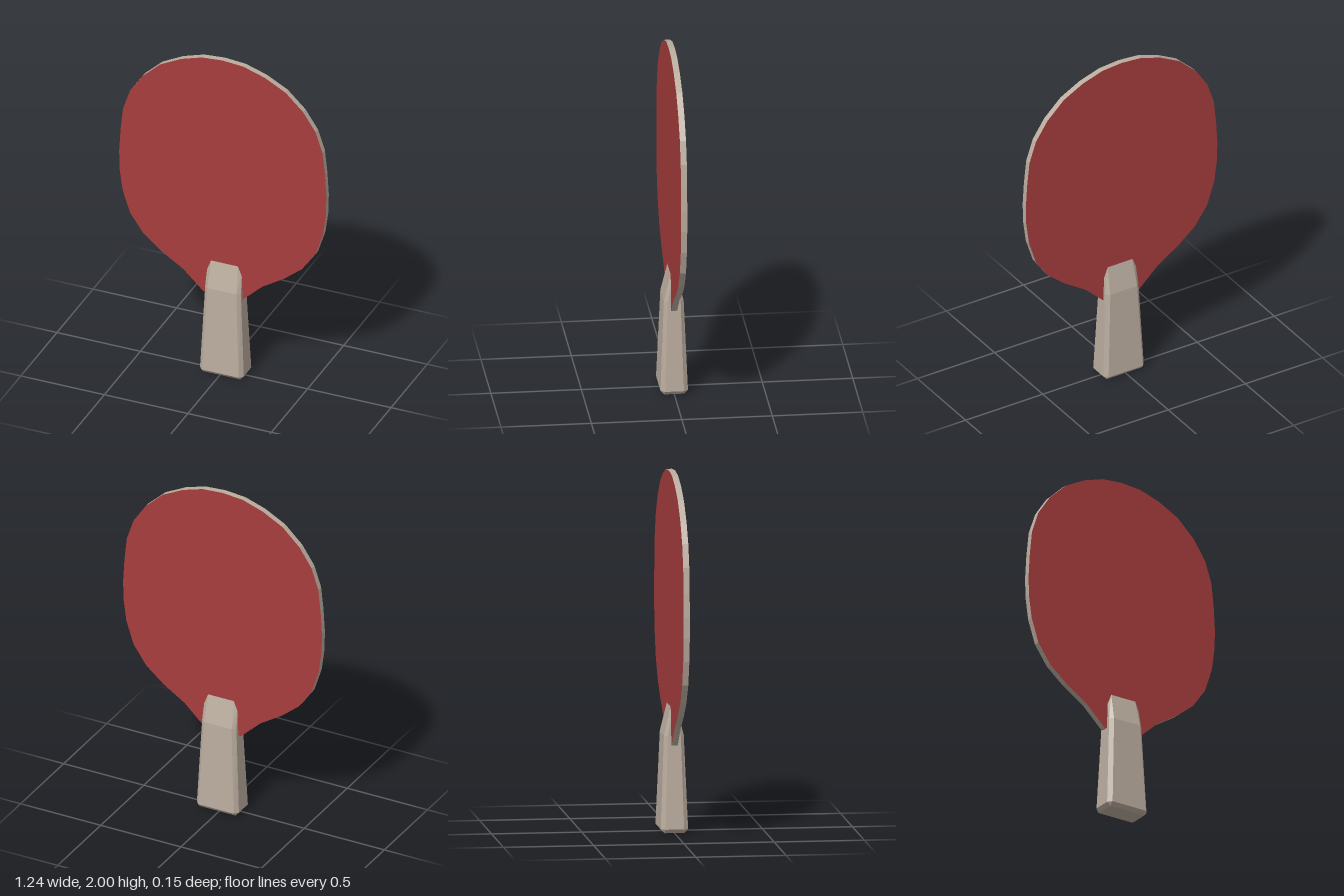
import * as THREE from 'three';

const rubber = new THREE.MeshStandardMaterial({ name: 'red rubber', color: 0xa83d3d });
const wood = new THREE.MeshStandardMaterial({ name: 'pale wood', color: 0xbbad9f });

// Blade: mirrored outline, red on both flat faces and bare wood round the rim
function makeBlade() {
  const half = [
    [0.125, 1.99], [0.25, 1.95], [0.374, 1.885], [0.48, 1.785], [0.555, 1.673],
    [0.597, 1.548], [0.612, 1.408], [0.62, 1.275], [0.618, 1.159], [0.6, 1.026],
    [0.555, 0.888], [0.475, 0.774], [0.369, 0.687], [0.236, 0.602], [0.115, 0.488],
  ];
  const right = half.map(([x, y]) => new THREE.Vector2(x, y));
  const left = half.map(([x, y]) => new THREE.Vector2(-x, y)).reverse();
  const shape = new THREE.Shape([new THREE.Vector2(0, 2), ...right, ...left]);
  const depth = 0.034;
  const geometry = new THREE.ExtrudeGeometry(shape, { depth, bevelEnabled: false });
  geometry.translate(0, 0, -depth / 2);
  const blade = new THREE.Mesh(geometry, [rubber, wood]);
  blade.name = 'blade';
  return blade;
}

// Handle: eight-sided sections, tapering upwards and wedged onto the blade
function makeHandle() {
  const sections = [
    { faceY: 0, faceX: 0.112, faceZ: 0.056, sideY: 0, sideX: 0.112, sideZ: 0.056 },
    { faceY: 0.022, faceX: 0.111, faceZ: 0.076, sideY: 0.022, sideX: 0.131, sideZ: 0.052 },
    { faceY: 0.54, faceX: 0.087, faceZ: 0.055, sideY: 0.54, sideX: 0.107, sideZ: 0.036 },
    { faceY: 0.7, faceX: 0.08, faceZ: 0.0165, sideY: 0.66, sideX: 0.1035, sideZ: 0.012 },
  ];
  // Corners run from the front face round by the +x side to the back
  const rings = sections.map((s) => [
    [-s.faceX, s.faceY, s.faceZ], [s.faceX, s.faceY, s.faceZ],
    [s.sideX, s.sideY, s.sideZ], [s.sideX, s.sideY, -s.sideZ],
    [s.faceX, s.faceY, -s.faceZ], [-s.faceX, s.faceY, -s.faceZ],
    [-s.sideX, s.sideY, -s.sideZ], [-s.sideX, s.sideY, s.sideZ],
  ]);
  const positions = [];
  const triangle = (a, b, c) => positions.push(...a, ...b, ...c);
  for (let r = 0; r < rings.length - 1; r++) {
    for (let i = 0; i < 8; i++) {
      const j = (i + 1) % 8;
      triangle(rings[r][i], rings[r][j], rings[r + 1][j]);
      triangle(rings[r][i], rings[r + 1][j], rings[r + 1][i]);
    }
  }
  // End caps
  const bottom = rings[0];
  const top = rings[rings.length - 1];
  for (let i = 1; i < 7; i++) {
    triangle(bottom[0], bottom[i + 1], bottom[i]);
    triangle(top[0], top[i], top[i + 1]);
  }
  const geometry = new THREE.BufferGeometry();
  geometry.setAttribute('position', new THREE.Float32BufferAttribute(positions, 3));
  geometry.computeVertexNormals();
  const handle = new THREE.Mesh(geometry, wood);
  handle.name = 'handle';
  handle.position.x = 0.01;
  return handle;
}

export function createModel() {
  const paddle = new THREE.Group();
  paddle.name = 'paddle';
  paddle.add(makeBlade(), makeHandle());
  return paddle;
}
